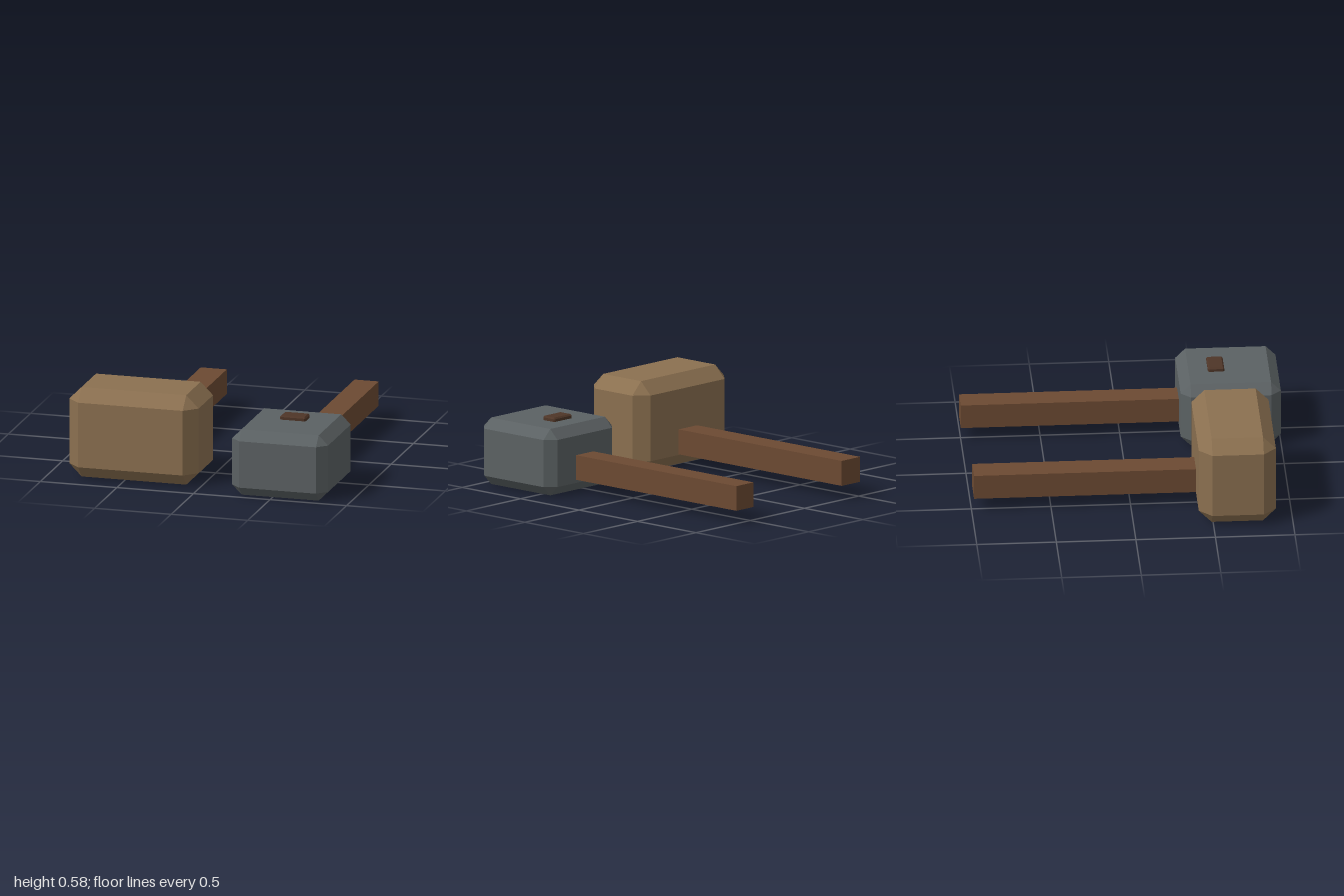
import * as THREE from 'three';
import { ConvexGeometry } from 'three/addons/geometries/ConvexGeometry.js';

const material = (color) => new THREE.MeshStandardMaterial({ color, flatShading: true });

// Box whose edges are cut by c, leaving a triangle at each corner
function chamferedBox(w, h, d, c) {
  const points = [];
  for (const sx of [-1, 1]) for (const sy of [-1, 1]) for (const sz of [-1, 1]) {
    const x = w / 2, y = h / 2, z = d / 2;
    points.push(
      new THREE.Vector3(sx * x, sy * (y - c), sz * (z - c)),
      new THREE.Vector3(sx * (x - c), sy * y, sz * (z - c)),
      new THREE.Vector3(sx * (x - c), sy * (y - c), sz * z));
  }
  return new ConvexGeometry(points);
}

// Mesh filling the given [min, max] ranges; chamfer 0 gives a plain box
function block(name, [x0, x1], [y0, y1], [z0, z1], chamfer, mat) {
  const size = [x1 - x0, y1 - y0, z1 - z0];
  const geometry = chamfer ? chamferedBox(...size, chamfer) : new THREE.BoxGeometry(...size);
  const mesh = new THREE.Mesh(geometry, mat);
  mesh.name = name;
  mesh.position.set((x0 + x1) / 2, (y0 + y1) / 2, (z0 + z1) / 2);
  return mesh;
}

export function createModel() {
  const model = new THREE.Group();
  model.name = 'hammers';
  const wood = material(0x8b7050);
  const iron = material(0x5b6163);
  const handleWood = material(0x6c4a32);
  const darkWood = material(0x4e3527);

  // Wooden mallet lying on its head
  const mallet = new THREE.Group();
  mallet.name = 'woodenMallet';
  mallet.add(
    block('malletHead', [-0.865, -0.02], [0, 0.583], [0.41, 0.895], 0.081, wood),
    block('malletHandle', [-0.53, -0.36], [0.085, 0.245], [-0.985, 0.5], 0, handleWood));

  // Iron hammer with a wedge peg on top
  const hammer = new THREE.Group();
  hammer.name = 'ironHammer';
  hammer.add(
    block('hammerHead', [0.235, 0.862], [0, 0.426], [0.37, 1], 0.062, iron),
    block('hammerHandle', [0.47, 0.628], [0.082, 0.24], [-1, 0.5], 0, handleWood),
    block('wedgePeg', [0.464, 0.632], [0.405, 0.452], [0.553, 0.656], 0.009, darkWood));

  model.add(mallet, hammer);
  return model;
}
